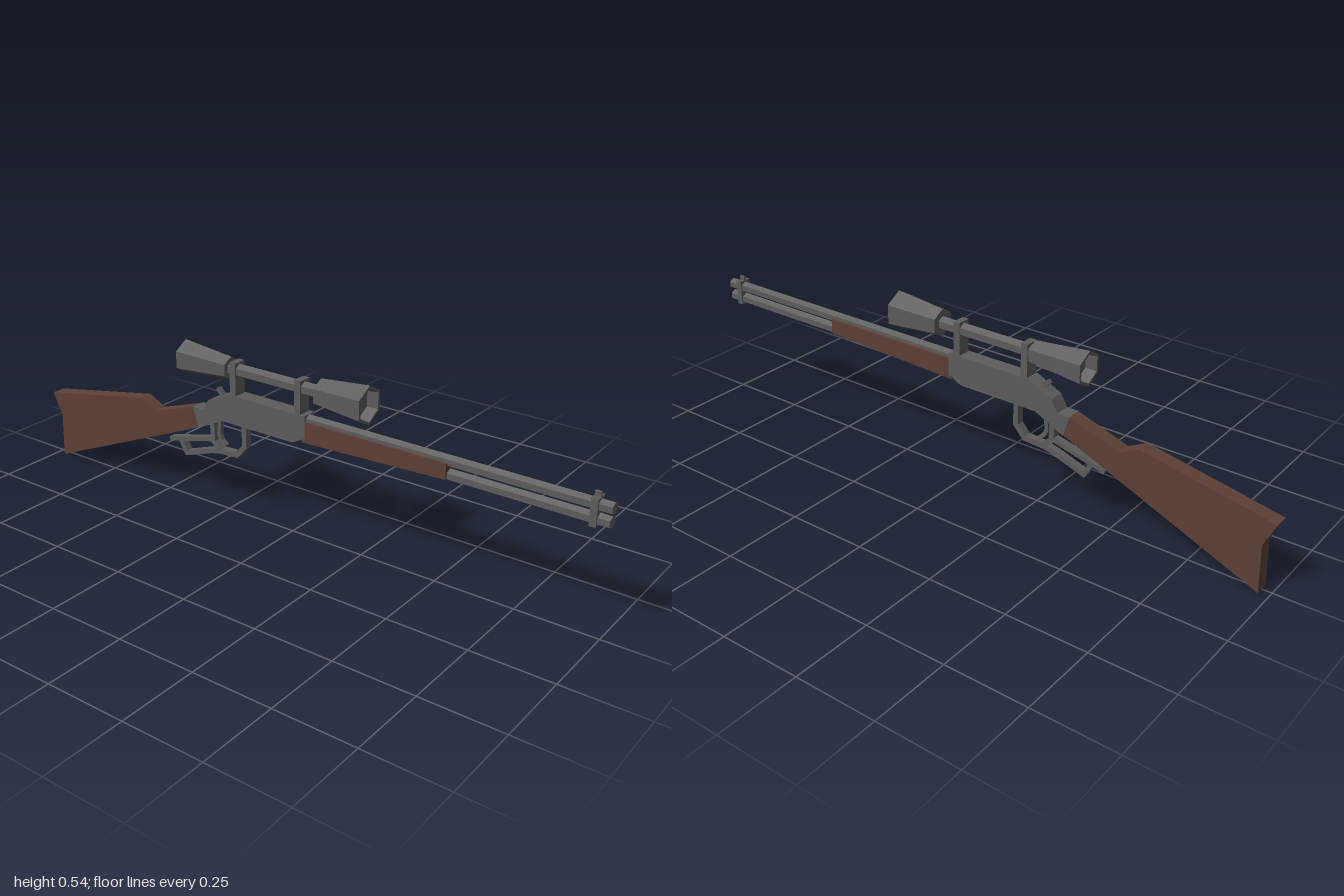
import * as THREE from 'three';

const metal = new THREE.MeshStandardMaterial({ color: 0x5c5c5c, flatShading: true });
const wood = new THREE.MeshStandardMaterial({ color: 0x5c4036, flatShading: true });

function add(group, name, geometry, material) {
  const mesh = new THREE.Mesh(geometry, material);
  mesh.name = name;
  group.add(mesh);
  return mesh;
}

// Side profile given as [z, y] points, extruded across x and centred
function slab(points, width) {
  const shape = new THREE.Shape(points.map(([z, y]) => new THREE.Vector2(z, y)));
  const g = new THREE.ExtrudeGeometry(shape, { depth: width, bevelEnabled: false });
  g.translate(0, 0, -width / 2);
  g.rotateY(-Math.PI / 2);
  return g;
}

// Flat bar of even thickness following [z, y] points, with mitred corners
function strip(points, thickness, width) {
  const p = points.map(([z, y]) => new THREE.Vector2(z, y));
  const left = [], right = [];
  p.forEach((c, i) => {
    const a = c.clone().sub(p[Math.max(i - 1, 0)]).normalize();
    const b = p[Math.min(i + 1, p.length - 1)].clone().sub(c).normalize();
    if (i === 0) a.copy(b);
    if (i === p.length - 1) b.copy(a);
    const t = a.clone().add(b).normalize();
    const n = new THREE.Vector2(-t.y, t.x).multiplyScalar(thickness / 2 / Math.max(0.5, t.dot(a)));
    left.push([c.x + n.x, c.y + n.y]);
    right.unshift([c.x - n.x, c.y - n.y]);
  });
  return slab([...left, ...right], width);
}

// Six-sided rod lying along z
function hexRod(radius, z0, z1, y) {
  const g = new THREE.CylinderGeometry(radius, radius, z1 - z0, 6);
  g.rotateX(Math.PI / 2);
  g.translate(0, y, (z0 + z1) / 2);
  return g;
}

// Flared hexagonal bell with a recessed lens; dir is the way it opens along z
function bell(rSmall, rBig, zSmall, length, y, dir) {
  const rim = rBig - 0.009, depth = 0.035;
  const profile = [
    [0, 0], [rSmall, 0], [rBig, length], [rim, length], [rim - 0.004, length - depth], [0, length - depth],
  ].map(([r, h]) => new THREE.Vector2(r, h));
  const g = new THREE.LatheGeometry(profile, 6);
  g.rotateX(dir * Math.PI / 2);
  g.translate(0, y, zSmall);
  return g;
}

function box(w, h, d, y, z) {
  return new THREE.BoxGeometry(w, h, d).translate(0, y, z);
}

export function createModel() {
  const model = new THREE.Group();
  model.name = 'leverActionRifle';

  // Barrel, magazine tube and muzzle fittings
  add(model, 'barrel', hexRod(0.018, 0.04, 1, 0.382), metal);
  add(model, 'magazineTube', hexRod(0.018, 0.04, 0.997, 0.342), metal);
  add(model, 'barrelBand', box(0.04, 0.08, 0.02, 0.364, 0.953), metal);
  add(model, 'frontSight', box(0.007, 0.02, 0.018, 0.408, 0.953), metal);

  // Wooden furniture
  add(model, 'foreEnd', slab([[0.53, 0.381], [0.05, 0.381], [0.05, 0.316], [0.53, 0.334]], 0.046), wood);
  add(model, 'stock', slab([
    [-0.345, 0.262], [-0.365, 0.325], [-0.53, 0.27], [-0.59, 0.3],
    [-1, 0.222], [-0.965, 0.147], [-0.97, 0],
  ], 0.046), wood);

  // Receiver
  add(model, 'receiver', slab([
    [0.06, 0.4], [-0.225, 0.4], [-0.305, 0.362], [-0.327, 0.325], [-0.367, 0.325],
    [-0.347, 0.26], [-0.25, 0.307], [0.016, 0.307], [0.06, 0.33],
  ], 0.048), metal);

  // Hammer and trigger
  add(model, 'hammer', strip([[-0.25, 0.365], [-0.264, 0.382], [-0.282, 0.402]], 0.013, 0.014), metal);
  add(model, 'trigger', strip([[-0.275, 0.3], [-0.28, 0.25], [-0.272, 0.23], [-0.255, 0.216]], 0.012, 0.014), metal);

  // Trigger guard and finger lever
  const lever = new THREE.Group();
  lever.name = 'lever';
  add(lever, 'triggerGuard', strip([
    [-0.176, 0.315], [-0.176, 0.235], [-0.207, 0.2], [-0.27, 0.196], [-0.3, 0.223], [-0.302, 0.295],
  ], 0.017, 0.024), metal);
  add(lever, 'leverTopBar', strip([[-0.298, 0.23], [-0.48, 0.184]], 0.014, 0.024), metal);
  add(lever, 'leverLoop', strip([
    [-0.27, 0.197], [-0.31, 0.187], [-0.412, 0.152], [-0.437, 0.195],
  ], 0.015, 0.024), metal);
  model.add(lever);

  // Scope with its two mounts
  const scope = new THREE.Group();
  scope.name = 'scope';
  add(scope, 'scopeTube', hexRod(0.021, -0.235, 0.11, 0.477), metal);
  add(scope, 'objectiveBell', bell(0.043, 0.06, 0.1, 0.166, 0.477, 1), metal);
  add(scope, 'eyepieceBell', bell(0.036, 0.054, -0.23, 0.178, 0.477, -1), metal);
  for (const z of [0.032, -0.208]) add(scope, 'scopeMount', box(0.044, 0.108, 0.022, 0.449, z), metal);
  model.add(scope);

  return model;
}
